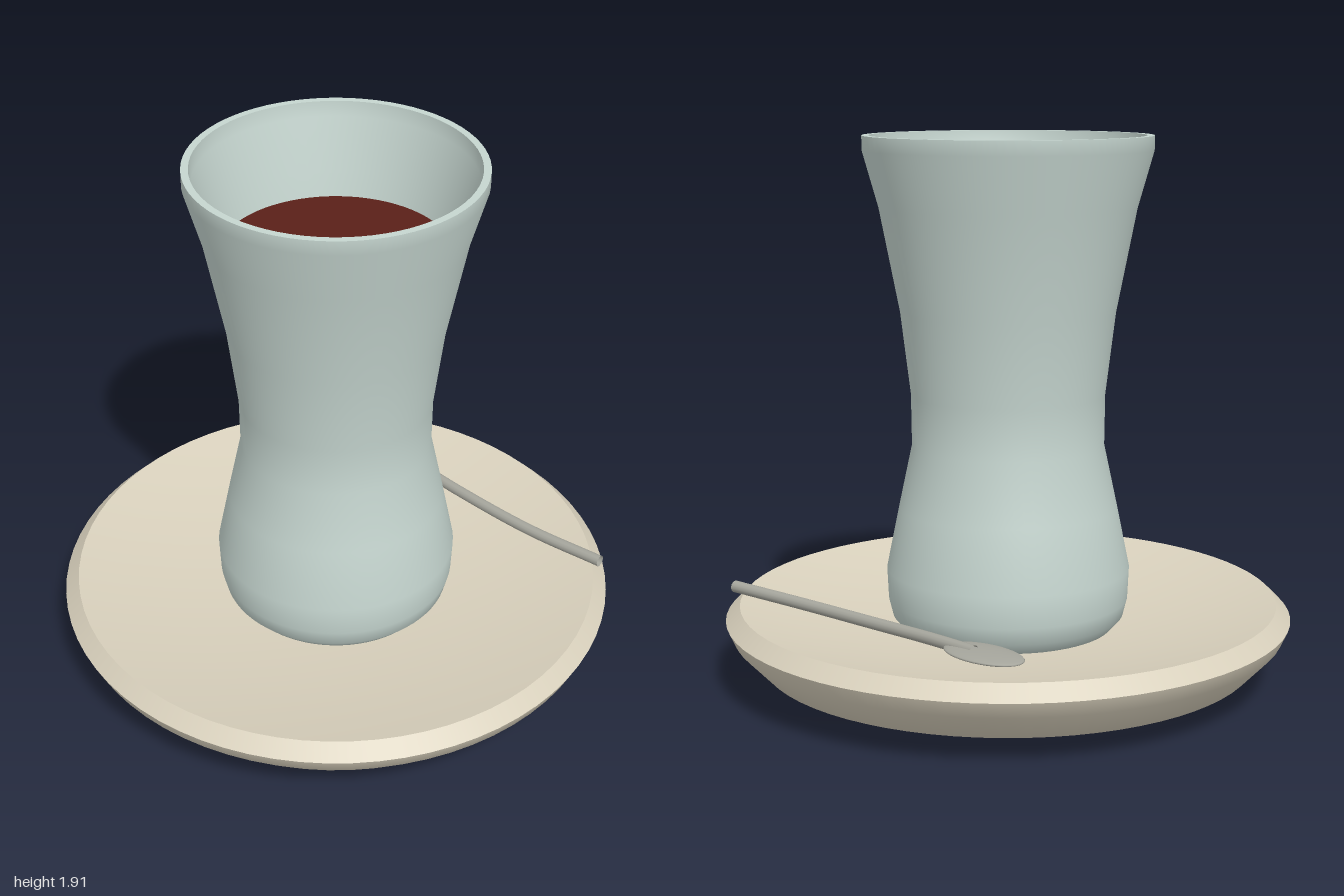
import * as THREE from 'three';
import { mergeGeometries } from 'three/addons/utils/BufferGeometryUtils.js';

const material = (color) => new THREE.MeshStandardMaterial({ color, side: THREE.DoubleSide });

// Turned part: each [radius, height] section is smooth, with a sharp edge between sections
function turned(name, sections, mat) {
  const parts = sections.map((points) =>
    new THREE.LatheGeometry(points.map(([r, y]) => new THREE.Vector2(r, y)), 72));
  const mesh = new THREE.Mesh(mergeGeometries(parts), mat);
  mesh.name = name;
  return mesh;
}

export function createModel() {
  const model = new THREE.Group();
  model.name = 'teaGlassOnSaucer';

  // Saucer: underside, bevelled rim, shallow dished top
  model.add(turned('saucer', [
    [[0, 0], [0.4, 0], [0.66, 0.005], [0.88, 0.08], [0.975, 0.18], [1, 0.235]],
    [[1, 0.235], [0.95, 0.285]],
    [[0.95, 0.285], [0.8, 0.25], [0.6, 0.215], [0.4, 0.19], [0.2, 0.175], [0, 0.17]],
  ], material(0xd8d0bc)));

  // Waisted glass: outer wall, flat lip, inner wall
  model.add(turned('glass', [
    [[0, 0.18], [0.37, 0.185], [0.41, 0.23], [0.425, 0.29], [0.43, 0.4], [0.385, 0.62], [0.338, 0.84],
      [0.34, 1.02], [0.375, 1.31], [0.445, 1.67], [0.5, 1.865], [0.5, 1.915]],
    [[0.5, 1.915], [0.475, 1.915]],
    [[0.475, 1.915], [0.47, 1.86], [0.415, 1.67], [0.345, 1.31], [0.31, 1.02], [0.31, 0.84],
      [0.355, 0.62], [0.395, 0.4], [0.36, 0.25], [0, 0.24]],
  ], material(0xc5d5cf)));

  // Tea surface
  const tea = new THREE.Mesh(new THREE.CircleGeometry(0.395, 72), material(0x5a2018));
  tea.name = 'tea';
  tea.rotation.x = -Math.PI / 2;
  tea.position.y = 1.59;
  model.add(tea);

  // Spoon: flattened oval bowl and a gently bent round handle
  const spoon = new THREE.Group();
  spoon.name = 'spoon';
  const steel = material(0xa5a59c);
  const bowl = new THREE.Mesh(new THREE.SphereGeometry(1, 32, 16), steel);
  bowl.name = 'spoonBowl';
  bowl.scale.set(0.087, 0.014, 0.157);
  bowl.position.set(0.607, 0.309, -0.432);
  const path = new THREE.CatmullRomCurve3([
    [0.618, 0.312, -0.4], [0.61, 0.312, -0.2], [0.609, 0.31, 0.05],
    [0.623, 0.314, 0.4], [0.662, 0.326, 0.712],
  ].map((p) => new THREE.Vector3(...p)));
  const handle = new THREE.Mesh(new THREE.TubeGeometry(path, 32, 0.021, 12), steel);
  handle.name = 'spoonHandle';
  spoon.add(bowl, handle);
  model.add(spoon);

  return model;
}
